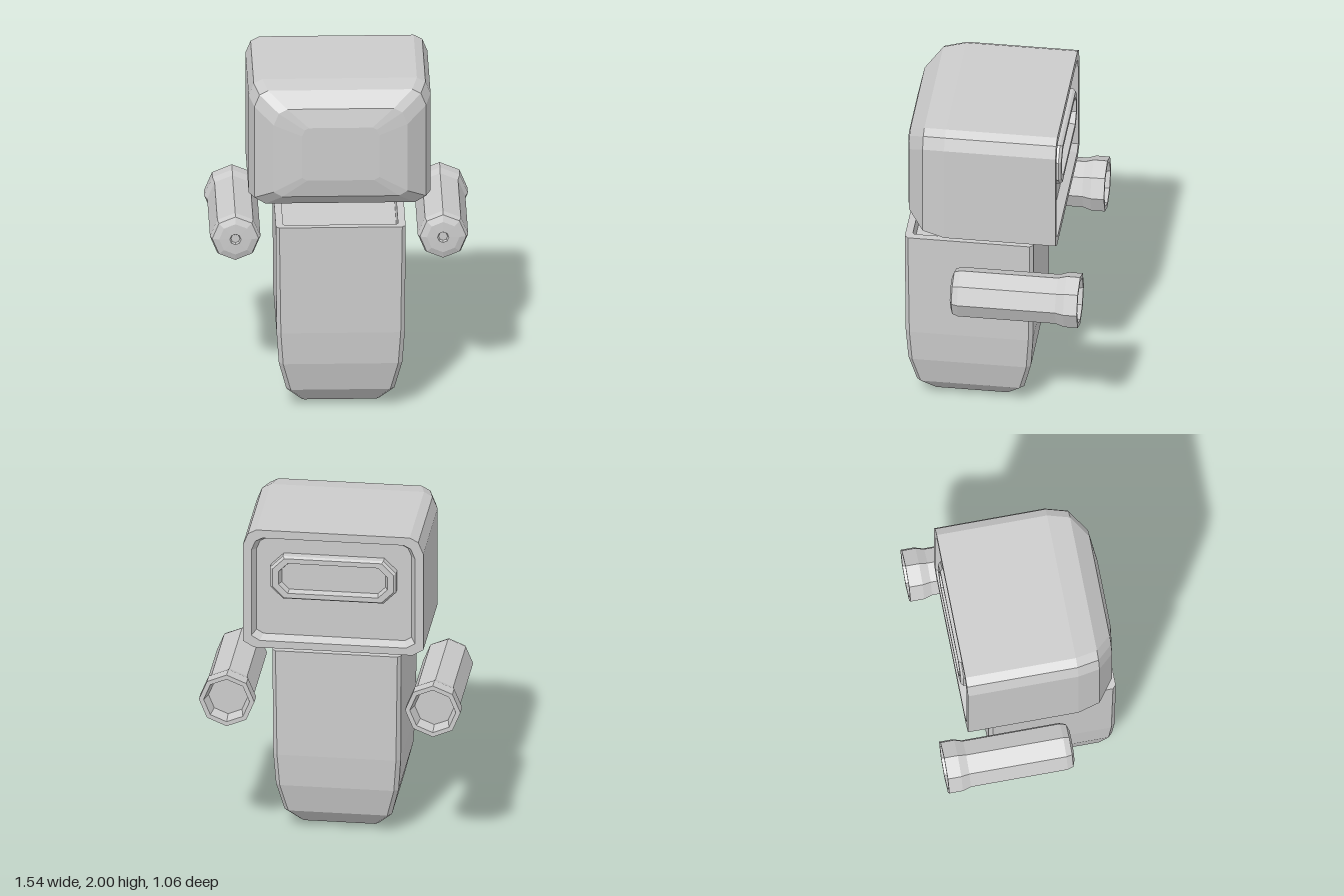
import * as THREE from 'three';

const material = new THREE.MeshStandardMaterial({ color: 0xcccccc, flatShading: true, roughness: 0.8 });

// Skins a list of equal-sized rings, caps both ends; skip(j, i) leaves a quad out.
function loft(rings, skip = () => false) {
  const pos = [];
  const tri = (...pts) => pts.forEach((p) => pos.push(p.x, p.y, p.z));
  const n = rings[0].length;
  for (let j = 0; j < rings.length - 1; j++) {
    const a = rings[j], b = rings[j + 1];
    for (let i = 0; i < n; i++) {
      if (skip(j, i)) continue;
      const k = (i + 1) % n;
      tri(a[i], a[k], b[k]);
      tri(a[i], b[k], b[i]);
    }
  }
  const first = rings[0], last = rings[rings.length - 1];
  for (let i = 1; i < n - 1; i++) {
    tri(first[0], first[i + 1], first[i]);
    tri(last[0], last[i], last[i + 1]);
  }
  const geo = new THREE.BufferGeometry();
  geo.setAttribute('position', new THREE.Float32BufferAttribute(pos, 3));
  geo.computeVertexNormals();
  return geo;
}

// Rectangle with cut corners, counter-clockwise
function cutRect(hu, hv, c) {
  return [[hu, c - hv], [hu, hv - c], [hu - c, hv], [c - hu, hv],
    [-hu, hv - c], [-hu, c - hv], [c - hu, -hv], [hu - c, -hv]];
}

// Head outline: two-step upper corners, single cut lower corners
function headRing(z, hx, y0, y1, ct, cb) {
  const half = [[hx, y0 + 0.6 * cb], [hx, y1 - ct], [hx - 0.3 * ct, y1 - 0.27 * ct], [hx - 0.8 * ct, y1]];
  const left = half.map(([x, y]) => [-x, y]).reverse();
  return [...half, ...left, [cb - hx, y0], [hx - cb, y0]].map(([x, y]) => new THREE.Vector3(x, y, z));
}

// Horizontal ring around a vertical axis at depth cz
const flatRing = (y, hz, hx, c, cz) => cutRect(hz, hx, c).map(([u, v]) => new THREE.Vector3(v, y, cz + u));

function add(parent, name, geo) {
  const mesh = new THREE.Mesh(geo, material);
  mesh.name = name;
  parent.add(mesh);
  return mesh;
}

function buildHead() {
  const head = new THREE.Group();
  head.name = 'head';

  // Shell from the recessed back panel, over the rim, to the domed front
  const rings = [
    headRing(-0.325, 0.455, 1.32, 1.93, 0.07, 0.04),
    headRing(-0.375, 0.48, 1.295, 1.95, 0.08, 0.05),
    headRing(-0.375, 0.53, 1.25, 2.0, 0.1, 0.065),
    headRing(0.28, 0.53, 1.25, 2.0, 0.1, 0.065),
    headRing(0.41, 0.5, 1.27, 1.98, 0.1, 0.065),
    headRing(0.505, 0.39, 1.35, 1.9, 0.1, 0.05),
    headRing(0.53, 0.225, 1.46, 1.79, 0.05, 0.03),
  ];
  add(head, 'headShell', loft(rings, (j, i) => j === 2 && i === 8));

  // Underside with a neck opening
  const rect = (Type, x, z0, z1) => {
    const s = new Type();
    s.moveTo(-x, z0).lineTo(x, z0).lineTo(x, z1).lineTo(-x, z1).closePath();
    return s;
  };
  const plate = rect(THREE.Shape, 0.465, -0.375, 0.28);
  plate.holes.push(rect(THREE.Path, 0.42, -0.28, 0.24));
  add(head, 'headUnderside', new THREE.ShapeGeometry(plate).rotateX(Math.PI / 2).translate(0, 1.25, 0));
  add(head, 'neckSocket', loft([
    flatRing(1.33, 0.26, 0.42, 0.001, -0.02),
    flatRing(1.25, 0.26, 0.42, 0.001, -0.02),
  ]).deleteAttribute('normal'));

  // Raised frame on the back panel
  const frame = [
    [-0.345, 0.305, 0.085, 0.045],
    [-0.385, 0.32, 0.095, 0.055],
    [-0.385, 0.355, 0.125, 0.07],
    [-0.37, 0.37, 0.135, 0.075],
    [-0.32, 0.37, 0.135, 0.075],
  ].map(([z, hx, hy, c]) => cutRect(hx, hy, c).map(([x, y]) => new THREE.Vector3(x, 1.705 + y, z)));
  add(head, 'backFrame', loft(frame));
  return head;
}

function buildBody() {
  // From the socket underneath, up the tapered sides, into the shallow open top
  const rings = [
    [0.18, 0.12, 0.015], [0.003, 0.13, 0.015], [0.0, 0.135, 0.015], [0.025, 0.23, 0.02],
    [0.12, 0.315, 0.025], [0.3, 0.36, 0.025], [0.5, 0.374, 0.025], [1.165, 0.378, 0.02],
    [1.165, 0.335, 0.012], [1.08, 0.33, 0.012],
  ].map(([y, h, c]) => flatRing(y, h, h, c, 0.155));
  return loft(rings);
}

function buildArm() {
  // Eight-sided tube: hollow flared rear end, rounded front with a small dimple
  const profile = [
    [0, -0.46], [0.115, -0.46], [0.135, -0.53], [0.163, -0.53], [0.163, -0.45],
    [0.147, -0.4], [0.147, 0.175], [0.135, 0.21], [0.095, 0.224], [0.033, 0.226],
    [0.026, 0.21], [0, 0.21],
  ].map(([r, z]) => new THREE.Vector2(r, z));
  return new THREE.LatheGeometry(profile, 8).rotateX(Math.PI / 2);
}

export function createModel() {
  const model = new THREE.Group();
  model.name = 'figure';
  model.add(buildHead());
  add(model, 'body', buildBody());
  const arm = buildArm();
  for (const [name, side] of [['leftArm', 1], ['rightArm', -1]]) {
    add(model, name, arm).position.set(0.605 * side, 0.97, 0);
  }
  return model;
}
